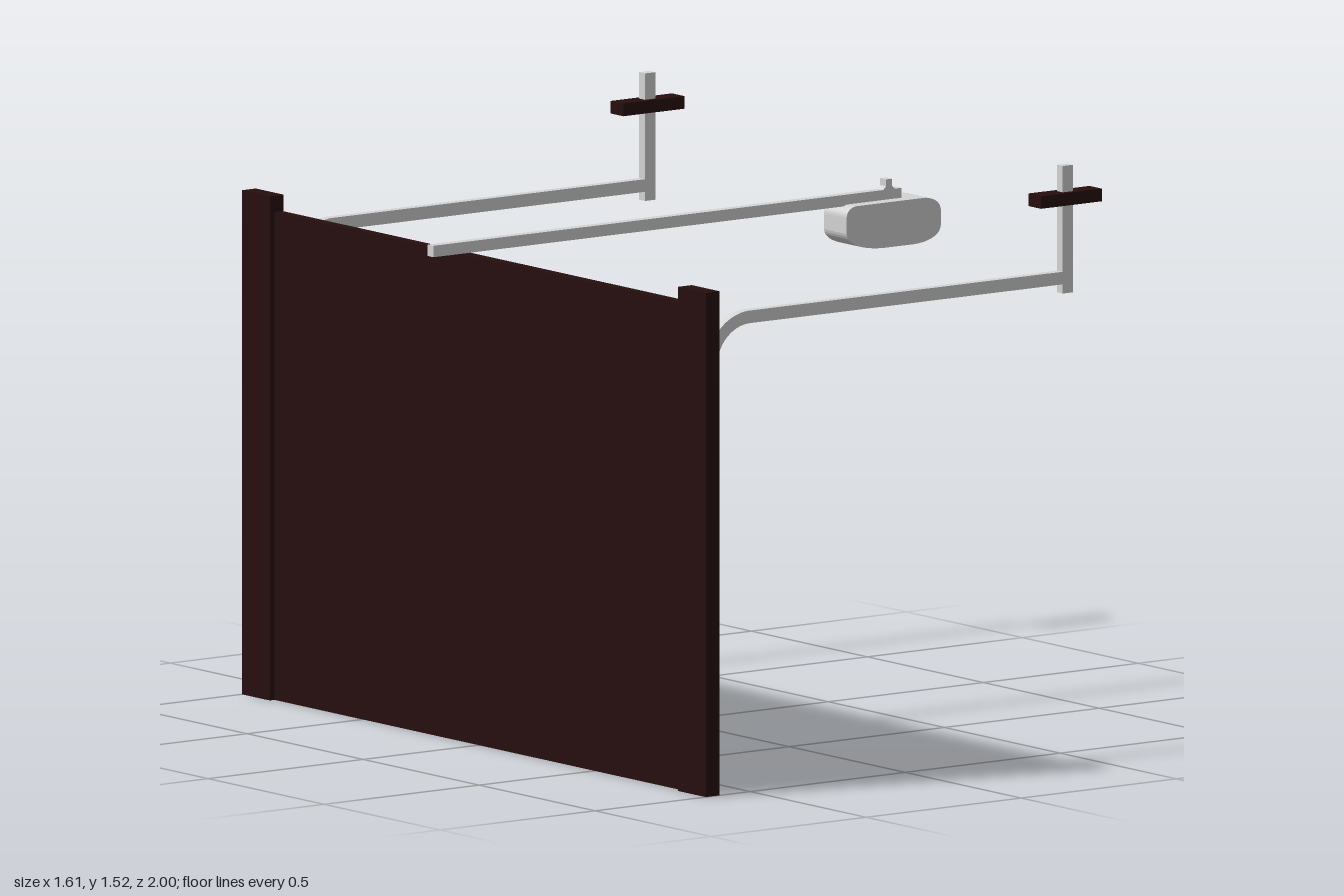
import * as THREE from 'three';

const maroon = new THREE.MeshStandardMaterial({ color: 0x260e0e });
maroon.name = 'dark maroon paint';
const steel = new THREE.MeshStandardMaterial({ color: 0xd4d4d4 });
steel.name = 'light grey steel';
const bright = new THREE.MeshStandardMaterial({ color: 0xeeeeee });
bright.name = 'bright hinge metal';

// Box given by its min and max on each axis
function box(name, mat, [x0, x1], [y0, y1], [z0, z1]) {
  const m = new THREE.Mesh(new THREE.BoxGeometry(x1 - x0, y1 - y0, z1 - z0), mat);
  m.position.set((x0 + x1) / 2, (y0 + y1) / 2, (z0 + z1) / 2);
  m.name = name;
  return m;
}

// Side profile in x and y, extruded evenly about a z position
function slab(name, mat, shape, width, z) {
  const g = new THREE.ExtrudeGeometry(shape, { depth: width, bevelEnabled: false, curveSegments: 12 });
  g.translate(0, 0, z - width / 2);
  const m = new THREE.Mesh(g, mat);
  m.name = name;
  return m;
}

function makeDoor() {
  const door = new THREE.Group();
  door.name = 'door';
  const half = 0.885, height = 1.178, cols = 8, rows = 4;
  door.add(box('backPanel', maroon, [-0.628, -0.6], [0, 1.277], [-half, half]));
  door.add(box('doorLeaf', maroon, [-0.6, -0.572], [0, height], [-half, half]));

  // Face grid with sunken panels
  const face = new THREE.Shape([[-half, 0], [half, 0], [half, height], [-half, height]]
    .map(p => new THREE.Vector2(...p)));
  for (let c = 0; c < cols; c++) for (let r = 0; r < rows; r++) {
    const x = (c - (cols - 1) / 2) * 0.2214, y = (r + 0.5) * height / rows;
    const w = 0.075, h = 0.12;
    face.holes.push(new THREE.Path([[x - w, y - h], [x - w, y + h], [x + w, y + h], [x + w, y - h]]
      .map(p => new THREE.Vector2(...p))));
  }
  const g = new THREE.ExtrudeGeometry(face, { depth: 0.012, bevelEnabled: false });
  g.rotateY(Math.PI / 2);
  g.translate(-0.572, 0, 0);
  const grid = new THREE.Mesh(g, maroon);
  grid.name = 'panelGrid';
  door.add(grid);

  // Side posts
  for (const s of [-1, 1]) {
    door.add(box('sidePost', maroon, [-0.643, -0.598], [0, 1.32], s < 0 ? [-1, -0.88] : [0.88, 1]));
  }
  return door;
}

// Bent track, its ceiling hanger and wooden block
function makeTrack(z) {
  const track = new THREE.Group();
  track.name = 'track';
  const s = new THREE.Shape();
  s.moveTo(-0.57, 0);
  s.lineTo(-0.537, 0);
  s.lineTo(-0.537, 1.1);
  s.absarc(-0.43, 1.1, 0.107, Math.PI, Math.PI / 2, true);
  s.lineTo(0.59, 1.207);
  s.lineTo(0.59, 1.24);
  s.lineTo(-0.43, 1.24);
  s.absarc(-0.43, 1.1, 0.14, Math.PI / 2, Math.PI, false);
  track.add(slab('rail', steel, s, 0.024, z));
  track.add(box('hanger', steel, [0.578, 0.611], [1.183, 1.517], [z - 0.0125, z + 0.0125]));
  track.add(box('ceilingBlock', maroon, [0.497, 0.694], [1.415, 1.448], [z - 0.027, z + 0.027]));
  return track;
}

// Roller hinge: two leaves, a knuckle and an axle reaching into the track
function makeHinge(y, side) {
  const hinge = new THREE.Group();
  hinge.name = 'rollerHinge';
  for (const s of [-1, 1]) {
    const leaf = new THREE.Mesh(new THREE.CylinderGeometry(0.015, 0.015, 0.006, 12), bright);
    leaf.name = 'leaf';
    leaf.rotation.z = Math.PI / 2;
    leaf.scale.x = 1.45;
    leaf.position.set(-0.557, s * 0.03, 0);
    hinge.add(leaf);
  }
  hinge.add(box('bridge', bright, [-0.56, -0.552], [-0.02, 0.02], [-0.008, 0.008]));
  const axle = new THREE.Mesh(new THREE.CylinderGeometry(0.007, 0.007, 0.055, 8), bright);
  axle.name = 'axle';
  axle.rotation.x = Math.PI / 2;
  axle.position.set(-0.549, 0, side * 0.012);
  hinge.add(axle);
  hinge.position.set(0, y, side * 0.861);
  return hinge;
}

function makeOpener() {
  const opener = new THREE.Group();
  opener.name = 'opener';
  const z = 0.03;
  opener.add(box('driveRail', steel, [-0.805, 0.705], [1.301, 1.331], [z - 0.0125, z + 0.0125]));

  // Rounded motor housing
  const s = new THREE.Shape();
  s.moveTo(0.53, 1.305);
  s.quadraticCurveTo(0.5, 1.3, 0.5, 1.275);
  s.lineTo(0.5, 1.235);
  s.bezierCurveTo(0.505, 1.205, 0.55, 1.189, 0.62, 1.187);
  s.lineTo(0.72, 1.187);
  s.bezierCurveTo(0.77, 1.189, 0.803, 1.205, 0.804, 1.23);
  s.lineTo(0.804, 1.27);
  s.quadraticCurveTo(0.8, 1.298, 0.755, 1.305);
  opener.add(slab('motorHousing', steel, s, 0.098, z));

  // Tapered mount on top of the rail
  const b = new THREE.Shape([[0.64, 1.325], [0.688, 1.325], [0.674, 1.34], [0.674, 1.358], [0.654, 1.358], [0.654, 1.34]]
    .map(p => new THREE.Vector2(...p)));
  opener.add(slab('mount', steel, b, 0.025, z));
  return opener;
}

export function createModel() {
  const model = new THREE.Group();
  model.name = 'garageDoor';
  model.add(makeDoor(), makeOpener(), makeTrack(0.894), makeTrack(-0.907));
  for (const side of [-1, 1]) for (const y of [0.297, 0.592, 0.887]) model.add(makeHinge(y, side));
  return model;
}
